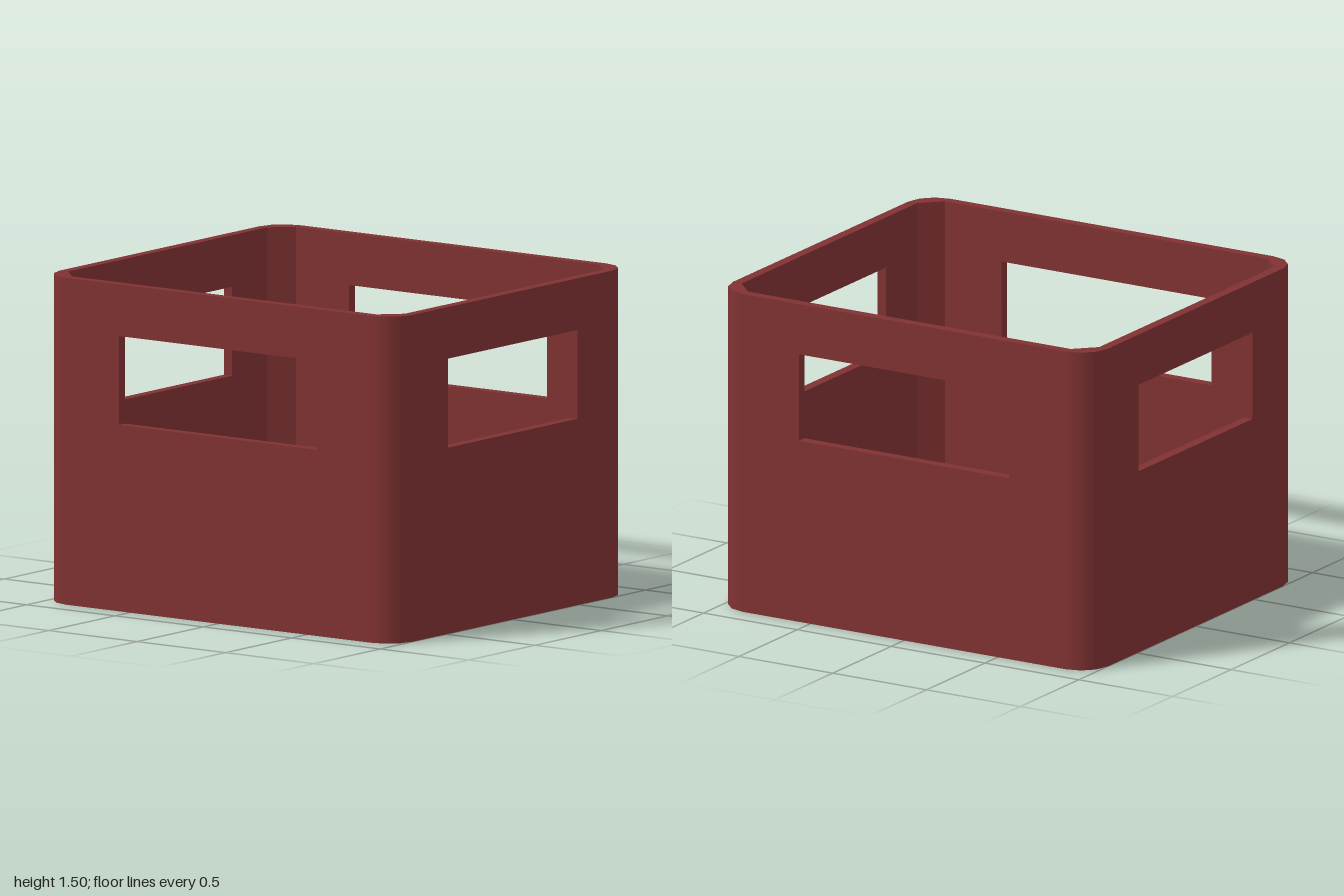
import * as THREE from 'three';

const W = 1, D = 0.89, H = 1.5;        // half width, half depth, height
const R = 0.14, T = 0.047;             // corner radius, wall thickness
const CX = W - R, CZ = D - R;          // corner arc centres
const FLOOR = 0.05;

// Flat wall with a hand-hold opening, facing +z with its outer face at z = 0
function wallGeometry(halfWidth, holeHalf) {
  const shape = new THREE.Shape([
    new THREE.Vector2(-halfWidth, 0), new THREE.Vector2(halfWidth, 0),
    new THREE.Vector2(halfWidth, H), new THREE.Vector2(-halfWidth, H),
  ]);
  shape.holes.push(new THREE.Path([
    new THREE.Vector2(-holeHalf, 0.855), new THREE.Vector2(-holeHalf, 1.263),
    new THREE.Vector2(holeHalf, 1.263), new THREE.Vector2(holeHalf, 0.855),
  ]));
  return new THREE.ExtrudeGeometry(shape, { depth: T, bevelEnabled: false }).translate(0, 0, -T);
}

// Upright prism from y = 0, with the outline given in x and z
function prism(points, height) {
  return new THREE.ExtrudeGeometry(new THREE.Shape(points), { depth: height, bevelEnabled: false })
    .rotateX(Math.PI / 2).translate(0, height, 0);
}

// Corner post: rounded outside, single chamfer inside, centred on its arc
function cornerGeometry() {
  const points = [];
  for (let i = 0; i <= 3; i++) {
    const a = (i / 3) * Math.PI / 2;
    points.push(new THREE.Vector2(R * Math.cos(a), R * Math.sin(a)));
  }
  points.push(new THREE.Vector2(0, R - T), new THREE.Vector2(R - T, 0));
  const geometry = prism(points, H);
  // Smooth the outer faces with radial normals
  const pos = geometry.attributes.position, nor = geometry.attributes.normal;
  for (let i = 0; i < pos.count; i++) {
    if (nor.getX(i) > 0.05 && nor.getZ(i) > 0.05) {
      nor.setXYZ(i, pos.getX(i) / R, 0, pos.getZ(i) / R);
    }
  }
  return geometry;
}

export function createModel() {
  const crate = new THREE.Group();
  crate.name = 'crate';
  const red = new THREE.MeshStandardMaterial({ color: 0x803232 });
  red.name = 'dark red plastic';

  const add = (name, geometry, x, z, turn = 0) => {
    const mesh = new THREE.Mesh(geometry, red);
    mesh.name = name;
    mesh.position.set(x, 0, z);
    mesh.rotation.y = turn;
    crate.add(mesh);
  };

  // Walls
  const longWall = wallGeometry(CX, 0.56), sideWall = wallGeometry(CZ, 0.487);
  add('frontWall', longWall, 0, D);
  add('backWall', longWall, 0, -D, Math.PI);
  add('leftWall', sideWall, W, 0, Math.PI / 2);
  add('rightWall', sideWall, -W, 0, -Math.PI / 2);

  // Corner posts
  const corner = cornerGeometry();
  add('frontLeftCorner', corner, CX, CZ);
  add('backLeftCorner', corner, CX, -CZ, Math.PI / 2);
  add('backRightCorner', corner, -CX, -CZ, Math.PI);
  add('frontRightCorner', corner, -CX, CZ, -Math.PI / 2);

  // Floor fills the chamfered inner outline
  const ix = W - T, iz = D - T;
  const outline = [
    [CX, iz], [-CX, iz], [-ix, CZ], [-ix, -CZ],
    [-CX, -iz], [CX, -iz], [ix, -CZ], [ix, CZ],
  ].map(([x, z]) => new THREE.Vector2(x, z));
  add('floor', prism(outline, FLOOR), 0, 0);

  return crate;
}
